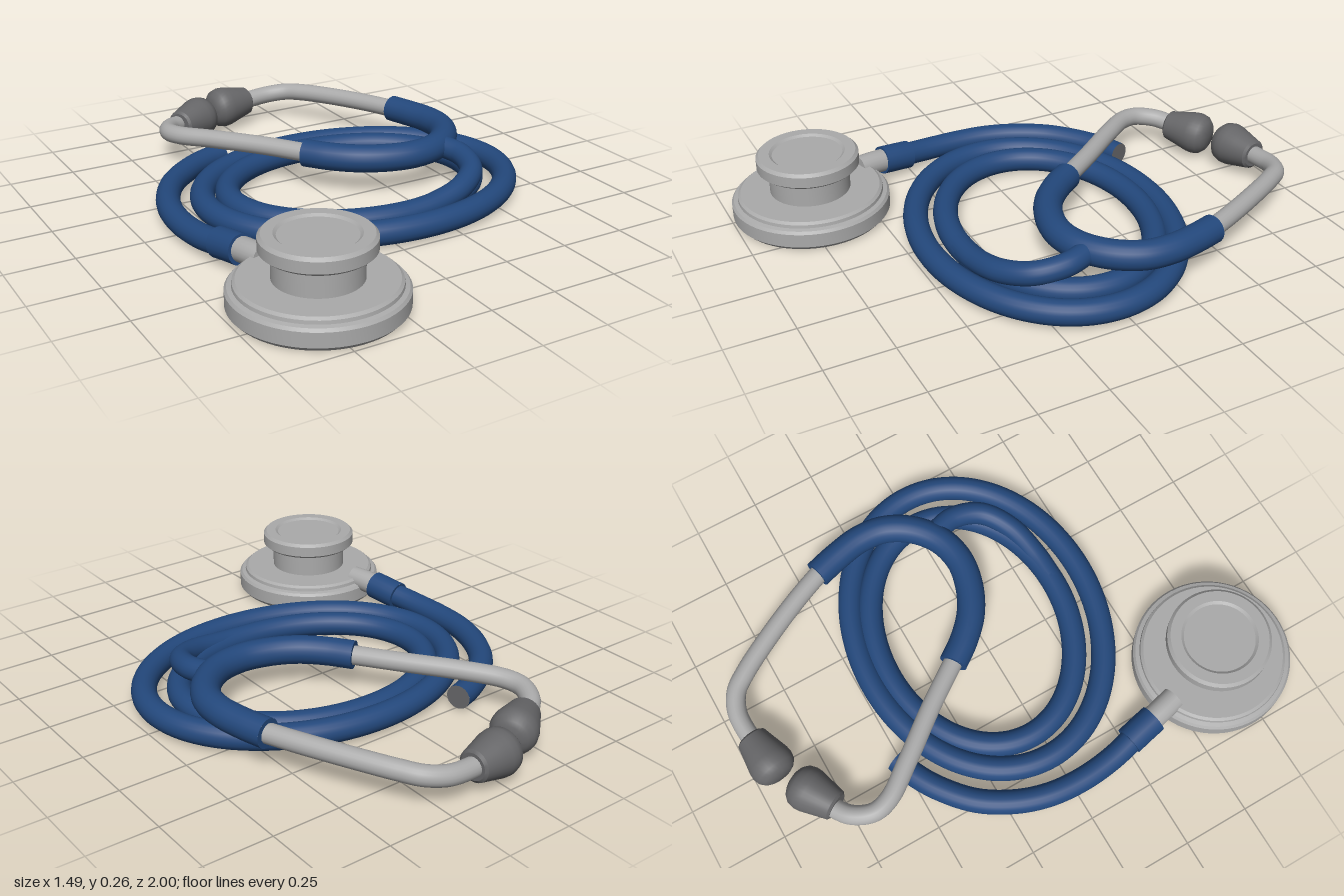
import * as THREE from 'three';
import { toCreasedNormals } from 'three/addons/utils/BufferGeometryUtils.js';

const material = (name, color) => {
  const m = new THREE.MeshStandardMaterial({ color });
  m.name = name;
  return m;
};

export function createModel() {
  const model = new THREE.Group();
  const blue = material('navy rubber', 0x23487c);
  const metal = material('brushed metal', 0xaaaaaa);
  const grey = material('dark grey', 0x666668);

  const add = (name, geometry, mat, parent = model) => {
    const mesh = new THREE.Mesh(geometry, mat);
    mesh.name = name;
    parent.add(mesh);
    return mesh;
  };
  const vec = (p) => new THREE.Vector3(...p);

  // Round hose along a smooth path, with flat discs on open ends
  const hose = (name, points, radius, mat, { closed = false, capMats = [mat, mat] } = {}) => {
    const group = new THREE.Group();
    group.name = name;
    model.add(group);
    const curve = new THREE.CatmullRomCurve3(points.map(vec), closed, 'centripetal');
    add(name + 'Body', new THREE.TubeGeometry(curve, closed ? 160 : 80, radius, 20, closed), mat, group);
    if (!closed) {
      [0, 1].forEach((t) => {
        const cap = add(name + 'End', new THREE.CircleGeometry(radius, 20), capMats[t], group);
        cap.position.copy(curve.getPointAt(t));
        const out = curve.getTangentAt(t).multiplyScalar(t ? 1 : -1);
        cap.quaternion.setFromUnitVectors(new THREE.Vector3(0, 0, 1), out);
      });
    }
  };

  const lathe = (profile, segments) =>
    toCreasedNormals(new THREE.LatheGeometry(profile.map((p) => new THREE.Vector2(...p)), segments), 0.6);

  // Chest piece: wide drum, neck and small bell
  const chest = new THREE.Group();
  chest.name = 'chestPiece';
  chest.position.set(-0.453, 0, 0.703);
  model.add(chest);
  add('chestBody', lathe([
    [0.265, 0.002], [0.28, 0.002], [0.295, 0.018], [0.295, 0.07], [0.287, 0.08], [0.272, 0.084],
    [0.27, 0.096], [0.26, 0.104], [0.15, 0.104], [0.15, 0.195], [0.178, 0.195], [0.19, 0.205],
    [0.19, 0.245], [0.179, 0.256], [0.14, 0.256], [0.13, 0.248], [0, 0.248],
  ], 64), metal, chest);
  const diaphragm = add('diaphragm', new THREE.CylinderGeometry(0.275, 0.275, 0.008, 64), grey, chest);
  diaphragm.position.y = 0.004;

  // Metal stem, sleeve and the hose leaving the chest piece
  hose('chestStem', [[-0.53, 0.09, 0.48], [-0.545, 0.088, 0.42], [-0.565, 0.08, 0.33]], 0.045, metal);
  hose('chestSleeve', [[-0.558, 0.083, 0.375], [-0.57, 0.076, 0.315], [-0.583, 0.068, 0.255]], 0.055, blue);
  hose('chestHose', [
    [-0.57, 0.076, 0.32], [-0.605, 0.058, 0.17], [-0.617, 0.052, 0.03], [-0.605, 0.052, -0.1],
    [-0.565, 0.052, -0.22], [-0.49, 0.052, -0.34], [-0.375, 0.052, -0.44], [-0.285, 0.052, -0.49],
    [-0.215, 0.052, -0.515],
  ], 0.045, blue, { capMats: [blue, grey] });

  // Two coils lying flat, slightly skewed
  const coil = (name, cx, cz, a, b) => {
    const points = [];
    for (let i = 0; i < 24; i++) {
      const t = (i / 24) * Math.PI * 2;
      const z = b * Math.sin(t);
      points.push([cx + a * Math.cos(t) + 0.065 * z, 0.052, cz + z]);
    }
    hose(name, points, 0.046, blue, { closed: true });
  };
  coil('outerCoil', 0.106, 0.003, 0.589, 0.457);
  coil('innerCoil', 0.098, -0.02, 0.478, 0.365);

  // Hose rising from the inner coil to the yoke
  hose('risingHose', [
    [0.1, 0.054, 0.347], [0.23, 0.062, 0.342], [0.37, 0.085, 0.31], [0.47, 0.11, 0.235],
    [0.5, 0.128, 0.13], [0.475, 0.138, 0.03],
  ], 0.043, blue);

  // U-shaped yoke
  hose('yoke', [
    [-0.02, 0.138, -0.165], [0.04, 0.139, -0.085], [0.12, 0.14, -0.01], [0.22, 0.14, 0.04],
    [0.33, 0.14, 0.06], [0.44, 0.14, 0.035], [0.53, 0.14, -0.035], [0.585, 0.14, -0.13],
    [0.595, 0.14, -0.23], [0.575, 0.138, -0.34], [0.548, 0.137, -0.435],
  ], 0.053, blue);

  // Metal ear tubes
  hose('rightEarTube', [
    [0.0, 0.138, -0.14], [-0.12, 0.138, -0.31], [-0.26, 0.134, -0.49], [-0.345, 0.126, -0.61],
    [-0.36, 0.12, -0.68], [-0.325, 0.11, -0.755], [-0.265, 0.1, -0.8], [-0.2, 0.096, -0.84],
  ], 0.036, metal);
  hose('leftEarTube', [
    [0.56, 0.137, -0.4], [0.5, 0.136, -0.54], [0.42, 0.132, -0.7], [0.34, 0.125, -0.84],
    [0.29, 0.118, -0.905], [0.22, 0.108, -0.938], [0.13, 0.1, -0.94], [0.05, 0.096, -0.928],
  ], 0.036, metal);

  // Ear tips flare towards a rounded blunt end
  const tipGeometry = lathe([
    [0, 0], [0.048, 0], [0.058, 0.008], [0.07, 0.06], [0.082, 0.11], [0.084, 0.135],
    [0.078, 0.16], [0.062, 0.178], [0.045, 0.187], [0, 0.19],
  ], 32);
  const earTip = (name, from, to) => {
    const tip = add(name, tipGeometry, grey);
    tip.position.copy(vec(from));
    tip.quaternion.setFromUnitVectors(new THREE.Vector3(0, 1, 0), vec(to).sub(vec(from)).normalize());
  };
  earTip('rightEarTip', [-0.27, 0.099, -0.785], [-0.11, 0.093, -0.875]);
  earTip('leftEarTip', [0.115, 0.099, -0.938], [-0.075, 0.093, -0.908]);

  return model;
}
